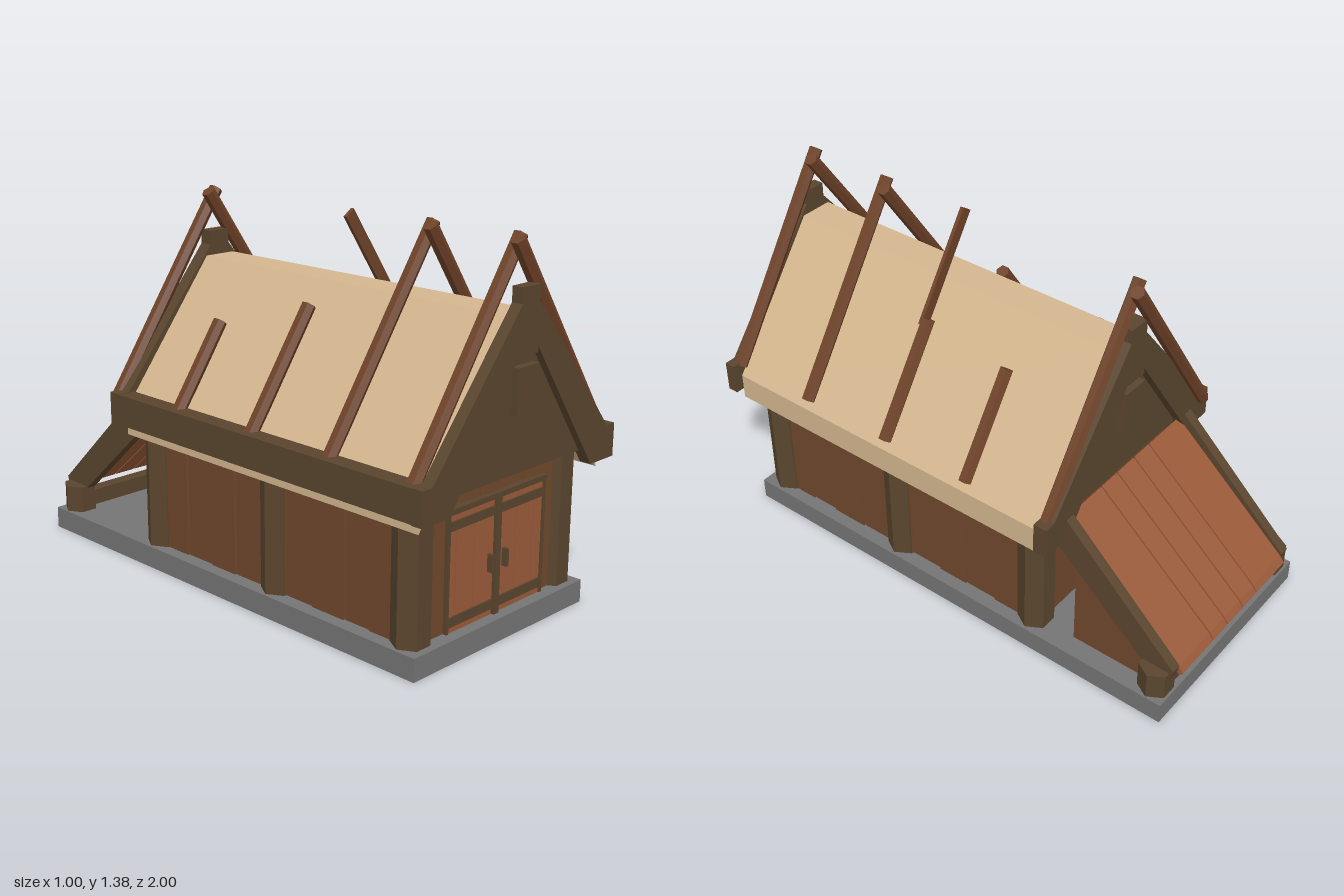
import * as THREE from 'three';

const mat = (name, color) => {
  const m = new THREE.MeshStandardMaterial({ color });
  m.name = name;
  return m;
};

export function createModel() {
  const root = new THREE.Group();
  const timber = mat('dark timber', 0x5a452e);
  const plank = mat('wall plank', 0x70482c);
  const red = mat('red plank', 0x9a5a3a);
  const poleMat = mat('roof pole', 0x6e4228);
  const straw = mat('thatch', 0xd4b78f);
  const stone = mat('stone', 0x757575);

  const add = (name, geo, m) => {
    const mesh = new THREE.Mesh(geo, m);
    mesh.name = name;
    root.add(mesh);
    return mesh;
  };
  // box from its min and max corners
  const box = (name, m, x0, x1, y0, y1, z0, z1) =>
    add(name, new THREE.BoxGeometry(x1 - x0, y1 - y0, z1 - z0)
      .translate((x0 + x1) / 2, (y0 + y1) / 2, (z0 + z1) / 2), m);
  const extrude = (pts, depth) => new THREE.ExtrudeGeometry(
    new THREE.Shape(pts.map(p => new THREE.Vector2(p[0], p[1]))), { depth, bevelEnabled: false });
  // [x, y] outline drawn out along z
  const prismZ = (name, m, pts, z0, z1) => add(name, extrude(pts, z1 - z0).translate(0, 0, z0), m);
  // [z, y] outline drawn out along x
  const prismX = (name, m, pts, x0, x1) =>
    add(name, extrude(pts, x1 - x0).rotateY(-Math.PI / 2).translate(x1, 0, 0), m);
  // outline mirrored about x = 0
  const mirrored = half => [...half, ...half.slice().reverse().map(([x, y]) => [-x, y])];

  const floor = 0.083;
  box('foundation', stone, -0.447, 0.447, 0, floor, -0.98, 0.935);

  // hexagonal upright posts, a corner pointing sideways
  const post = (name, x, z, r, top) => add(name,
    new THREE.CylinderGeometry(r, r, top - floor, 6).rotateY(Math.PI / 2)
      .translate(x, (top + floor) / 2, z), timber).material.flatShading = true;

  // side walls, posts and planks
  const sidePlanks = [[0.79, 0.695], [0.69, 0.585], [0.58, 0.43], [0.426, 0.3], [0.3, 0.176],
    [0.172, 0.045], [0.04, -0.085], [-0.09, -0.215], [-0.22, -0.335]];
  for (const s of [-1, 1]) {
    for (const z of [0.85, 0.24, -0.39]) post('wallPost', s * 0.37, z, 0.067, 0.59);
    sidePlanks.forEach(([a, b], i) => {
      const outer = 0.398 - (i % 2) * 0.006;
      box('sidePlank', plank, s > 0 ? 0.37 : -outer, s > 0 ? outer : -0.37, floor, 0.6, b, a);
    });
  }

  // front and back walls
  const endSeams = [-0.33, -0.21, -0.07, 0.07, 0.16, 0.33];
  for (let i = 0; i < endSeams.length - 1; i++) {
    const a = endSeams[i] + 0.002, b = endSeams[i + 1] - 0.002, o = (i % 2) * 0.005;
    box('frontPlank', plank, a, b, floor, 0.64, 0.85, 0.88 - o);
    box('backPlank', plank, a, b, floor, 0.64, -0.42 + o, -0.39);
  }

  // double door
  for (const [a, b] of [[-0.235, -0.205], [-0.201, -0.112], [-0.108, -0.01],
    [0.022, 0.108], [0.112, 0.2], [0.204, 0.25]])
    box('doorPlank', red, a, b, floor, 0.5, 0.875, 0.892);
  box('doorLintel', timber, -0.245, 0.265, 0.496, 0.515, 0.87, 0.9);
  box('doorJamb', timber, -0.245, -0.235, floor, 0.5, 0.87, 0.896);
  box('doorJamb', timber, 0.25, 0.265, floor, 0.5, 0.87, 0.896);
  box('doorMiddle', timber, -0.008, 0.018, floor, 0.51, 0.87, 0.903);
  for (const [y0, y1] of [[0.44, 0.472], [0.105, 0.14]]) {
    box('doorBrace', timber, -0.235, -0.01, y0, y1, 0.88, 0.898);
    box('doorBrace', timber, 0.022, 0.255, y0, y1, 0.88, 0.898);
  }
  for (const x of [-0.032, 0.045]) box('doorHandle', timber, x - 0.007, x + 0.007, 0.245, 0.308, 0.88, 0.912);

  // thatched roof shell
  prismZ('thatchRoof', straw, [[0.465, 0.51], [0.465, 0.61], [0.065, 1.13], [-0.065, 1.13],
    [-0.465, 0.61], [-0.465, 0.51], [-0.05, 1.045], [0.05, 1.045]], -0.472, 0.957);

  // gables: outer boards, recessed panel, ridge block and beam end
  const boards = mirrored([[0.37, 0.55], [0.5, 0.55], [0.5, 0.67], [0.455, 0.67], [0.04, 1.175]]);
  boards.push([-0.37, 0.55], [-0.045, 1.02], [0.045, 1.02]);
  const panel = mirrored([[0.4, 0.6], [0.04, 1.1]]);
  for (const [a, b, s] of [[0.957, 1, 1], [-0.525, -0.472, -1]]) {
    const face = s > 0 ? b : a, inner = s > 0 ? a : b;
    const span = (p, q) => [Math.min(p, q), Math.max(p, q)];
    prismZ('gableBoards', timber, boards, a, b);
    prismZ('gablePanel', timber, panel, ...span(inner - s * 0.045, inner + s * 0.015));
    box('ridgeBlock', timber, -0.045, 0.045, 1, 1.222, a, b - 0.001);
    box('beamEnd', timber, -0.055, 0.055, 0.805, 0.965, ...span(inner, face));
  }
  box('eaveBeam', timber, -0.499, -0.43, 0.552, 0.668, -0.48, 0.96);

  // roof poles; t is the fraction of full length
  const foot = new THREE.Vector3(0.455, 0.65, 0), tip = new THREE.Vector3(-0.037, 1.37, 0);
  const along = tip.clone().sub(foot);
  const length = along.length();
  const tilt = Math.atan2(-along.x, along.y);
  const pole = (s, z, t0, t1, thin) => {
    const len = length * (t1 - t0);
    const geo = thin ? new THREE.BoxGeometry(0.045, len, 0.014)
      : new THREE.CylinderGeometry(0.026, 0.026, len, 6);
    const mid = foot.clone().addScaledVector(along, (t0 + t1) / 2);
    const mesh = add('roofPole', geo.rotateZ(s * tilt), poleMat);
    mesh.position.set(s * mid.x, mid.y, z);
  };
  poleMat.flatShading = true;
  for (const [s, z, t] of [[1, 0.965, 1], [1, 0.61, 1], [1, 0.23, 0.53], [1, -0.14, 0.48], [1, -0.49, 1],
    [-1, 0.92, 1], [-1, 0.56, 1], [-1, 0.19, 0.57], [-1, -0.19, 0.42], [-1, -0.53, 1]]) pole(s, z, 0, t);
  pole(1, 0.243, 0.5, 1, true); // splintered half of a broken pole

  // lean-to at the back
  const leanSeams = [-0.35, -0.15, -0.055, 0.05, 0.145, 0.345];
  for (let i = 0; i < 5; i++)
    prismX('leanToRoofPlank', red, [[-0.5, 0.57], [-0.5, 0.61], [-0.98, 0.19], [-0.998, 0.165], [-0.985, 0.15]],
      leanSeams[i] + 0.003, leanSeams[i + 1] - 0.003);
  for (const s of [-1, 1]) {
    const x = s * 0.366;
    prismX('leanToRafter', timber, [[-0.5, 0.5], [-0.5, 0.66], [-0.985, 0.2], [-0.975, 0.165], [-0.875, 0.165]],
      x - 0.02, x + 0.02);
    post('leanToPost', s * 0.378, -0.915, 0.064, 0.187);
  }
  box('leanToSill', timber, -0.35, 0.35, floor, 0.145, -0.955, -0.9);
  prismX('leanToSideWall', plank, [[-0.56, floor], [-0.56, 0.47], [-0.88, 0.185], [-0.88, floor]], 0.345, 0.37);
  return root;
}
